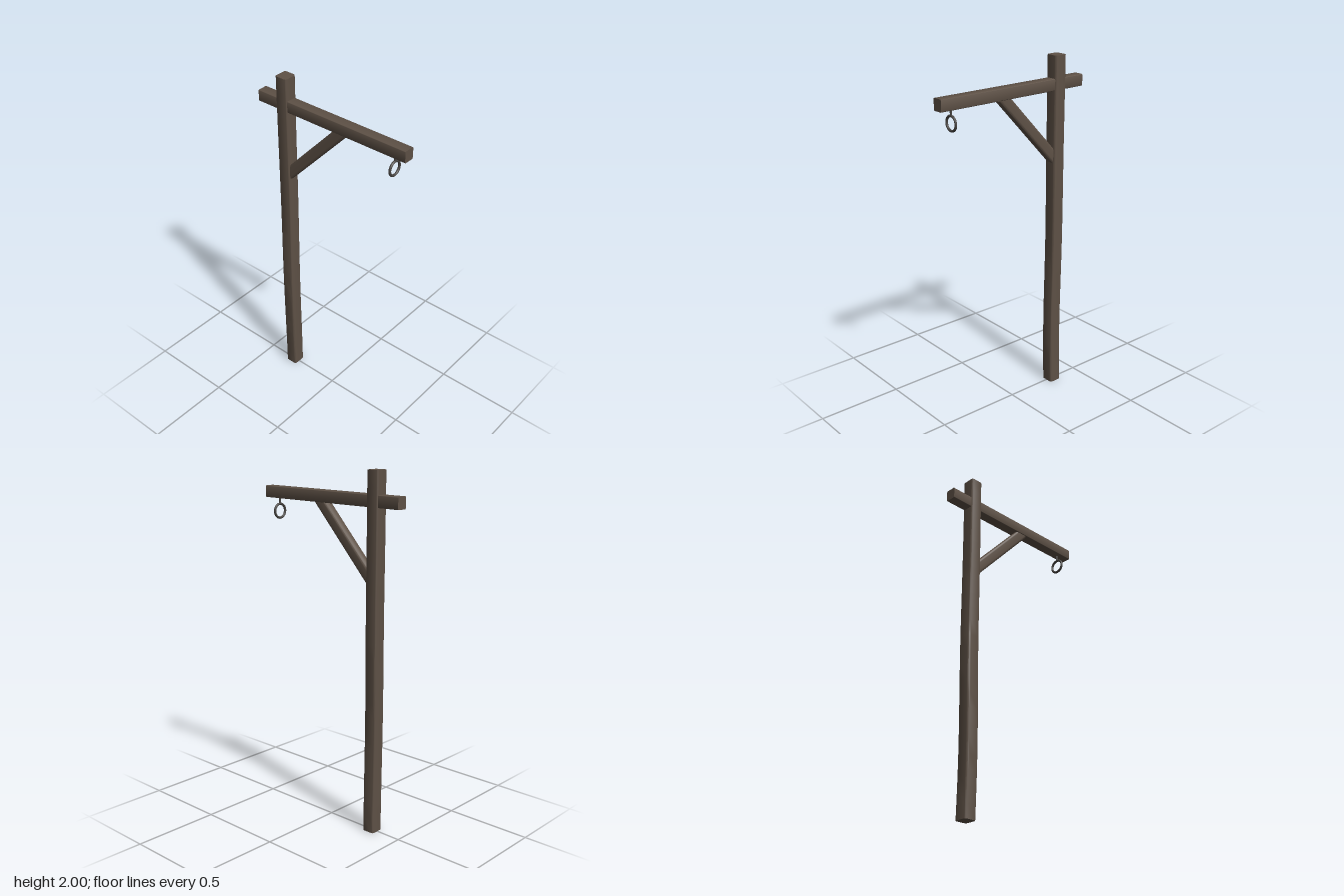
import * as THREE from 'three';
import { toCreasedNormals } from 'three/addons/utils/BufferGeometryUtils.js';

const wood = new THREE.MeshStandardMaterial({ color: 0x5e5146 });
wood.name = 'weathered wood';
const iron = new THREE.MeshStandardMaterial({ color: 0x484542 });
iron.name = 'dark iron';

// Timber with rounded long edges, running along +z from the origin
function timber(width, height, length, radius, steps = 1) {
  const w = width / 2, h = height / 2, r = radius;
  const s = new THREE.Shape();
  s.moveTo(-w + r, -h);
  s.lineTo(w - r, -h);
  s.quadraticCurveTo(w, -h, w, -h + r);
  s.lineTo(w, h - r);
  s.quadraticCurveTo(w, h, w - r, h);
  s.lineTo(-w + r, h);
  s.quadraticCurveTo(-w, h, -w, h - r);
  s.lineTo(-w, -h + r);
  s.quadraticCurveTo(-w, -h, -w + r, -h);
  return new THREE.ExtrudeGeometry(s, { depth: length, steps, bevelEnabled: false, curveSegments: 4 });
}

function add(group, name, geometry, material) {
  const mesh = new THREE.Mesh(geometry, material);
  mesh.name = name;
  group.add(mesh);
  return mesh;
}

export function createModel() {
  const group = new THREE.Group();
  group.name = 'hangingPost';

  // Upright post, very slightly crooked along its lower half
  const post = timber(0.077, 0.074, 2, 0.014, 24).rotateX(-Math.PI / 2);
  const p = post.attributes.position;
  for (let i = 0; i < p.count; i++) {
    const y = p.getY(i);
    const fade = Math.max(0, 1 - y / 1.7);
    p.setX(i, p.getX(i) - 0.004 * Math.sin(y * 4.5 - 0.8) * fade);
    p.setZ(i, p.getZ(i) + 0.003 * Math.sin(y * 5) * fade);
  }
  add(group, 'post', toCreasedNormals(post, 0.6), wood).position.z = -0.313;

  // Horizontal arm passing through the post
  add(group, 'arm', toCreasedNormals(timber(0.062, 0.066, 0.96, 0.008), 0.6), wood).position.set(0, 1.842, -0.48);

  // Diagonal brace, with both ends sunk into the timbers
  const low = new THREE.Vector3(0, 1.445, -0.275);
  const high = new THREE.Vector3(0, 1.81, 0.065);
  const dir = high.clone().sub(low).normalize();
  low.addScaledVector(dir, -0.03);
  high.addScaledVector(dir, 0.02);
  const brace = add(group, 'brace', toCreasedNormals(timber(0.054, 0.063, low.distanceTo(high), 0.014), 0.6), wood);
  brace.position.copy(low);
  brace.lookAt(high);

  // Iron ring on a short shank under the free end of the arm
  const hook = new THREE.Group();
  hook.name = 'hangingRing';
  hook.position.set(0, 1.736, 0.399);
  add(hook, 'ring', new THREE.TorusGeometry(0.039, 0.007, 10, 32), iron);
  add(hook, 'shank', new THREE.CylinderGeometry(0.006, 0.006, 0.045, 12), iron).position.y = 0.06;
  group.add(hook);

  return group;
}
